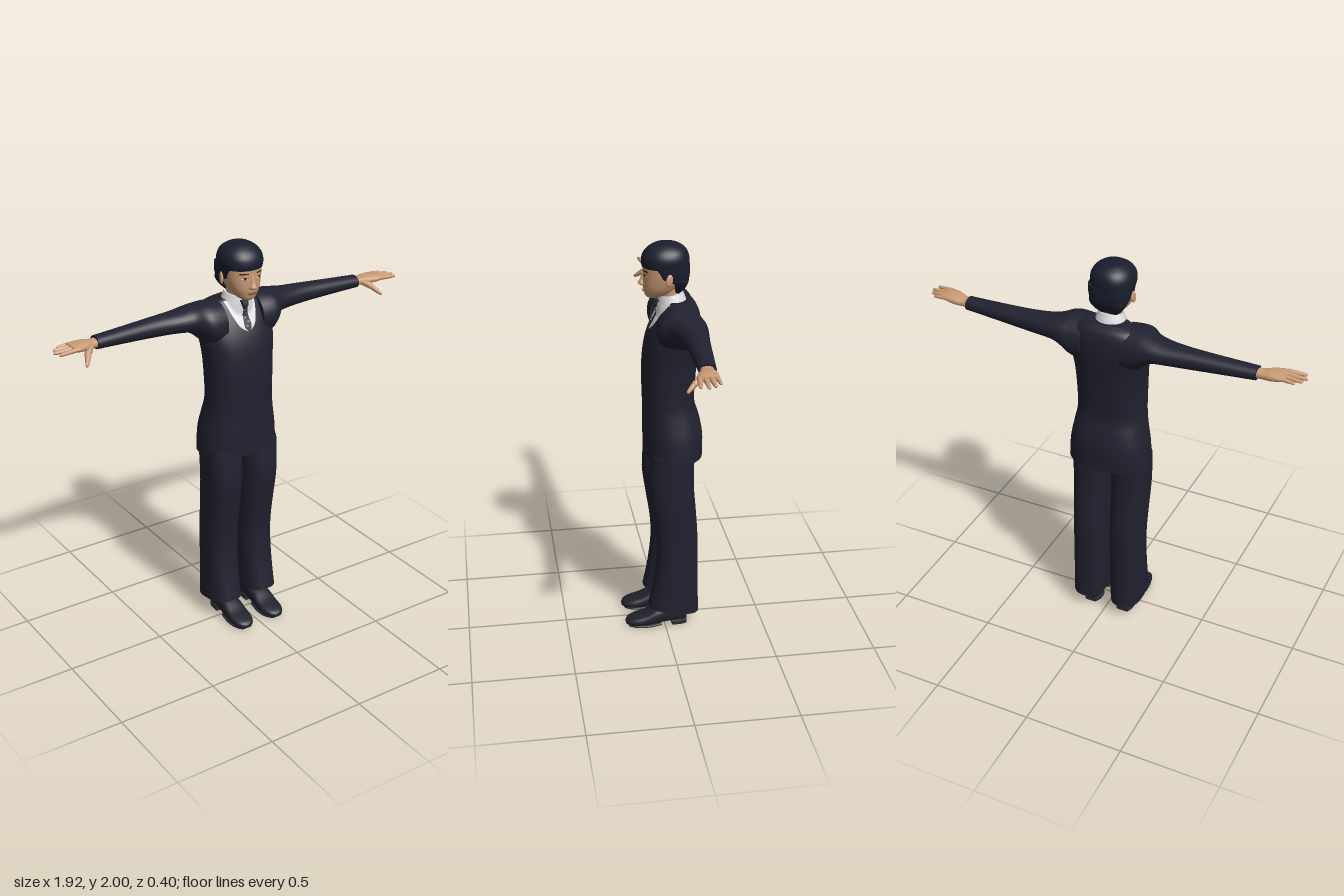
import * as THREE from 'three';

const mat = (name, color, side = THREE.FrontSide) => {
  const m = new THREE.MeshStandardMaterial({ color, side });
  m.name = name;
  return m;
};

// Resample section rows [t, a0, a1, b0, b1] with a smooth curve
function smoothRows(rows, steps = 4) {
  const out = [];
  const at = i => rows[Math.max(0, Math.min(rows.length - 1, i))];
  for (let i = 0; i < rows.length - 1; i++)
    for (let s = 0; s < steps; s++) {
      const u = s / steps;
      out.push(rows[i].map((p1, k) => {
        const p0 = at(i - 1)[k], p2 = at(i + 1)[k], p3 = at(i + 2)[k];
        return 0.5 * (2 * p1 + (p2 - p0) * u + (2 * p0 - 5 * p1 + 4 * p2 - p3) * u * u
          + (3 * p1 - p0 - 3 * p2 + p3) * u * u * u);
      }));
    }
  out.push(rows[rows.length - 1]);
  return out;
}

// Closed body from superellipse sections along an axis
function loft(axis, rows, power = 2, n = 32, move = null) {
  const pos = [], idx = [], R = smoothRows(rows);
  const put = (a, b, t) => {
    const p = axis === 'y' ? [a, t, b] : axis === 'x' ? [t, a, b] : [a, b, t];
    if (move) move(p);
    pos.push(...p);
  };
  const tri = (a, b, c) => axis === 'y' ? idx.push(a, c, b) : idx.push(a, b, c);
  const ring = ([t, a0, a1, b0, b1]) => {
    for (let j = 0; j < n; j++) {
      const c = Math.cos(j / n * 2 * Math.PI), s = Math.sin(j / n * 2 * Math.PI);
      put((a0 + a1) / 2 + (a1 - a0) / 2 * Math.sign(c) * Math.abs(c) ** (2 / power),
        (b0 + b1) / 2 + (b1 - b0) / 2 * Math.sign(s) * Math.abs(s) ** (2 / power), t);
    }
  };
  R.forEach(ring);
  for (let i = 0; i < R.length - 1; i++)
    for (let j = 0; j < n; j++) {
      const a = i * n + j, b = i * n + (j + 1) % n;
      tri(a, b, b + n);
      tri(a, b + n, a + n);
    }
  for (const [r, end] of [[R[0], false], [R[R.length - 1], true]]) {
    const s = pos.length / 3;
    ring(r);
    put((r[1] + r[2]) / 2, (r[3] + r[4]) / 2, r[0]);
    for (let j = 0; j < n; j++) {
      const k = (j + 1) % n;
      end ? tri(s + j, s + k, s + n) : tri(s + k, s + j, s + n);
    }
  }
  return build(pos, idx);
}

function build(pos, idx) {
  const g = new THREE.BufferGeometry();
  g.setAttribute('position', new THREE.Float32BufferAttribute(pos, 3));
  g.setIndex(idx);
  g.computeVertexNormals();
  return g;
}

// Front z of an upright loft at (x, y)
function frontZ(rows, power, x, y) {
  const R = smoothRows(rows);
  let z = -1;
  for (let i = 0; i < R.length - 1; i++) {
    if (y < R[i][0] || y > R[i + 1][0]) continue;
    const u = (y - R[i][0]) / (R[i + 1][0] - R[i][0]);
    const r = R[i].map((v, k) => v + (R[i + 1][k] - v) * u);
    const q = Math.min(1, Math.abs(x) / r[2]);
    z = (r[3] + r[4]) / 2 + (r[4] - r[3]) / 2 * (1 - q ** power) ** (1 / power);
  }
  return z;
}

// Thin painted patch on a surface; outline rows are [y, x0, x1]
function patch(outline, surf, lift, cols = 10, sub = 4) {
  const rows = smoothRows(outline, sub), pos = [], idx = [], w = cols + 1;
  rows.forEach(([y, x0, x1], i) => {
    for (let j = 0; j <= cols; j++) {
      const x = x0 + (x1 - x0) * j / cols;
      pos.push(x, y, surf(x, y) + lift);
      if (i && j) {
        const d = i * w + j, a = d - w - 1;
        idx.push(a, a + 1, d, a, d, d - 1);
      }
    }
  });
  return build(pos, idx);
}

// Tapered digit with a rounded tip
function digit(from, to, r0, r1) {
  const a = new THREE.Vector3(...from), d = new THREE.Vector3(...to).sub(a), L = d.length();
  const pts = [[r0, 0], [(r0 + r1) / 2 * 1.05, L * 0.5], [r1, L - r1], [r1 * 0.7, L - r1 * 0.3], [0, L]];
  const g = new THREE.LatheGeometry(pts.map(p => new THREE.Vector2(...p)), 10);
  g.applyQuaternion(new THREE.Quaternion().setFromUnitVectors(new THREE.Vector3(0, 1, 0), d.normalize()));
  return g.translate(a.x, a.y, a.z);
}

function mirrored(g) {
  const m = g.clone().scale(-1, 1, 1), ix = m.index.array;
  for (let i = 0; i < ix.length; i += 3) [ix[i], ix[i + 1]] = [ix[i + 1], ix[i]];
  m.computeVertexNormals();
  return m;
}

export function createModel() {
  const root = new THREE.Group();
  root.name = 'suitedMan';
  const suit = mat('navySuit', 0x212130), hair = mat('blackHair', 0x1a1e2d), skin = mat('skin', 0xcb9b76);
  const shirt = mat('whiteShirt', 0xdedee0, THREE.DoubleSide), tie = mat('darkTie', 0x2b2d38);
  const stripe = mat('tieStripe', 0x9a9ca4), shoe = mat('shoeLeather', 0x20212c);
  const lip = mat('lips', 0xae735a), dark = mat('eyeDark', 0x38281f), sole = mat('shoeSole', 0x2b2b2e);
  const add = (name, g, m) => {
    const mesh = new THREE.Mesh(g, m);
    mesh.name = name;
    root.add(mesh);
  };
  const pair = (name, g, m) => {
    add(name + 'Left', g, m);
    add(name + 'Right', mirrored(g), m);
  };
  const sym = rows => rows.map(([y, w, b, f]) => [y, -w, w, b, f]);

  // Jacket
  const torso = sym([[0.94, 0.206, -0.195, 0.09], [1.05, 0.198, -0.195, 0.092], [1.14, 0.182, -0.177, 0.092],
    [1.22, 0.171, -0.155, 0.094], [1.34, 0.172, -0.16, 0.097], [1.45, 0.178, -0.168, 0.091],
    [1.53, 0.188, -0.177, 0.075], [1.6, 0.19, -0.182, 0.048], [1.66, 0.182, -0.177, 0.014],
    [1.7, 0.155, -0.16, -0.012], [1.72, 0.1, -0.13, -0.025]]);
  add('jacket', loft('y', torso, 2.4, 48), suit);
  pair('sleeve', loft('x', [[0.1, 1.5, 1.715, -0.182, 0.045], [0.16, 1.505, 1.718, -0.184, 0.048],
    [0.2, 1.54, 1.713, -0.184, 0.035], [0.245, 1.575, 1.701, -0.18, -0.008], [0.31, 1.585, 1.69, -0.173, -0.028],
    [0.42, 1.59, 1.684, -0.158, -0.045], [0.57, 1.598, 1.676, -0.142, -0.047],
    [0.74, 1.606, 1.668, -0.125, -0.045]], 2.1, 28), suit);

  // Trousers with a hem that drops to the back
  const hem = p => { p[1] += Math.max(0, 1 - (p[1] - 0.1) / 0.15) * 0.16 * (p[2] + 0.043); };
  pair('trouserLeg', loft('y', [[0.1, 0.02, 0.19, -0.172, 0.084], [0.25, 0.018, 0.188, -0.168, 0.058],
    [0.4, 0.016, 0.187, -0.166, 0.041], [0.52, 0.015, 0.187, -0.164, 0.046], [0.65, 0.013, 0.19, -0.155, 0.065],
    [0.8, 0.012, 0.195, -0.143, 0.084], [0.97, 0.008, 0.2, -0.145, 0.072]], 2.5, 32, hem), suit);

  // Shoes
  pair('shoe', loft('z', [[-0.112, 0.065, 0.12, 0.012, 0.085], [-0.095, 0.048, 0.134, 0.012, 0.11],
    [-0.03, 0.044, 0.138, 0.015, 0.115], [0.04, 0.037, 0.146, 0.012, 0.098], [0.1, 0.034, 0.149, 0.006, 0.068],
    [0.15, 0.038, 0.146, 0.006, 0.054], [0.185, 0.055, 0.13, 0.008, 0.043], [0.2, 0.08, 0.105, 0.014, 0.03]],
  2.7, 24), shoe);
  pair('ankle', loft('y', [[0.05, 0.045, 0.138, -0.1, 0.05], [0.11, 0.05, 0.135, -0.1, 0.035],
    [0.18, 0.055, 0.13, -0.1, 0.02]], 2.2, 20), shoe);
  pair('heel', loft('z', [[-0.112, 0.06, 0.125, 0, 0.03], [-0.08, 0.047, 0.136, 0, 0.03],
    [-0.035, 0.047, 0.137, 0, 0.03]], 6, 20), sole);
  pair('sole', loft('z', [[0.02, 0.045, 0.138, 0.004, 0.02], [0.08, 0.037, 0.147, 0, 0.015],
    [0.14, 0.04, 0.144, 0, 0.015], [0.185, 0.062, 0.124, 0.002, 0.015]], 4, 20), sole);

  // Hands
  pair('palm', loft('x', [[0.72, 1.616, 1.658, -0.112, -0.055], [0.765, 1.618, 1.657, -0.114, -0.048],
    [0.8, 1.62, 1.662, -0.12, -0.032], [0.84, 1.625, 1.663, -0.119, -0.02], [0.875, 1.635, 1.66, -0.113, -0.018]],
  2.5, 20), skin);
  [[-0.106, 0.922, -0.11, 0.0095], [-0.08, 0.95, -0.083, 0.011], [-0.054, 0.962, -0.053, 0.011],
    [-0.029, 0.95, -0.018, 0.011]].forEach(([z, tx, tz, r], i) =>
    pair('finger' + (i + 1), digit([0.86, 1.647, z], [tx, 1.643, tz], r * 1.1, r * 0.72), skin));
  pair('thumbBase', digit([0.775, 1.636, -0.065], [0.822, 1.6, -0.008], 0.019, 0.013), skin);
  pair('thumb', digit([0.808, 1.61, -0.022], [0.838, 1.576, 0.02], 0.014, 0.008), skin);

  // Neck, collar, shirt front and tie
  add('neck', loft('y', sym([[1.68, 0.056, -0.1, 0.005], [1.74, 0.053, -0.092, 0.008],
    [1.8, 0.056, -0.09, 0.02]]), 2, 28), skin);
  const collar = sym([[1.655, 0.085, -0.125, 0.022], [1.7, 0.078, -0.118, 0.022], [1.75, 0.061, -0.1, 0.016]]);
  add('collar', loft('y', collar, 2, 32, p => { p[1] -= 0.2 * (p[2] + 0.04); }), shirt);
  const chest = (x, y) => Math.max(frontZ(torso, 2.4, x, y), frontZ(collar, 2, x, y + 0.012));
  add('shirtFront', patch([[1.575, -0.003, 0.003], [1.595, -0.034, 0.034], [1.62, -0.052, 0.052],
    [1.66, -0.068, 0.068], [1.715, -0.084, 0.084]], chest, 0.005, 16), shirt);
  add('tieBlade', patch([[1.576, -0.004, 0.004], [1.6, -0.019, 0.019], [1.65, -0.015, 0.015],
    [1.69, -0.011, 0.011]], chest, 0.009, 6), tie);
  add('tieKnot', loft('y', sym([[1.684, 0.011, 0.01, 0.037], [1.7, 0.017, 0.005, 0.042],
    [1.722, 0.021, 0, 0.036]]), 3, 16), tie);
  for (let i = 0; i < 5; i++) {
    const y = 1.6 + i * 0.018, s = i % 2 ? 1 : -1;
    add('tieMark' + (i + 1), patch([[y, s * 0.006 - 0.005, s * 0.006 + 0.005],
      [y + 0.006, s * 0.006 - 0.005, s * 0.006 + 0.005]], chest, 0.012, 2), stripe);
  }

  // Head
  const head = sym([[1.734, 0.022, 0.015, 0.068], [1.745, 0.042, -0.015, 0.079], [1.765, 0.06, -0.055, 0.085],
    [1.79, 0.074, -0.08, 0.09], [1.82, 0.084, -0.1, 0.091], [1.86, 0.092, -0.112, 0.09],
    [1.9, 0.094, -0.115, 0.088], [1.95, 0.078, -0.1, 0.066], [1.98, 0.04, -0.06, 0.02]]);
  add('head', loft('y', head, 2.25, 40), skin);
  const face = (x, y) => frontZ(head, 2.25, x, y);
  add('nose', loft('y', sym([[1.793, 0.008, 0.07, 0.096], [1.799, 0.018, 0.07, 0.109], [1.807, 0.018, 0.07, 0.114],
    [1.825, 0.011, 0.07, 0.104], [1.862, 0.008, 0.07, 0.091]]), 2, 16), skin);
  add('lips', patch([[1.763, -0.01, 0.01], [1.769, -0.021, 0.021], [1.774, -0.026, 0.026],
    [1.779, -0.016, 0.016]], face, 0.005), lip);
  add('mouthLine', patch([[1.7725, -0.025, 0.025], [1.7745, -0.025, 0.025]], face, 0.007), dark);
  pair('eyeWhite', patch([[1.845, 0.03, 0.046], [1.849, 0.022, 0.055], [1.854, 0.026, 0.052]], face, 0.003), shirt);
  pair('iris', patch([[1.845, 0.034, 0.043], [1.85, 0.032, 0.045], [1.855, 0.034, 0.043]], face, 0.005), dark);
  pair('eyeLid', patch([[1.853, 0.022, 0.056], [1.856, 0.028, 0.052]], face, 0.005), dark);
  pair('brow', patch([[1.869, 0.02, 0.06], [1.873, 0.022, 0.063], [1.876, 0.034, 0.058]], face, 0.004), dark);
  const ear = new THREE.SphereGeometry(1, 14, 10).scale(0.009, 0.031, 0.018);
  pair('ear', ear.rotateX(-0.2).rotateY(0.35).translate(0.099, 1.838, -0.022), skin);

  // Hair: cap with a fringe, then sideburns and nape
  add('hairCap', loft('y', sym([[1.886, 0.101, -0.128, 0.094], [1.91, 0.105, -0.131, 0.097],
    [1.94, 0.102, -0.127, 0.091], [1.968, 0.086, -0.112, 0.07], [1.988, 0.058, -0.083, 0.04],
    [1.997, 0.032, -0.055, 0.013], [2, 0.006, -0.026, -0.014]]), 2.15, 40), hair);
  add('hairBack', loft('y', sym([[1.757, 0.045, -0.084, -0.05], [1.785, 0.072, -0.106, -0.05],
    [1.815, 0.089, -0.121, -0.035], [1.835, 0.094, -0.126, 0.028], [1.86, 0.099, -0.129, 0.046],
    [1.9, 0.102, -0.129, 0.066]]), 3.2, 40), hair);
  return root;
}
